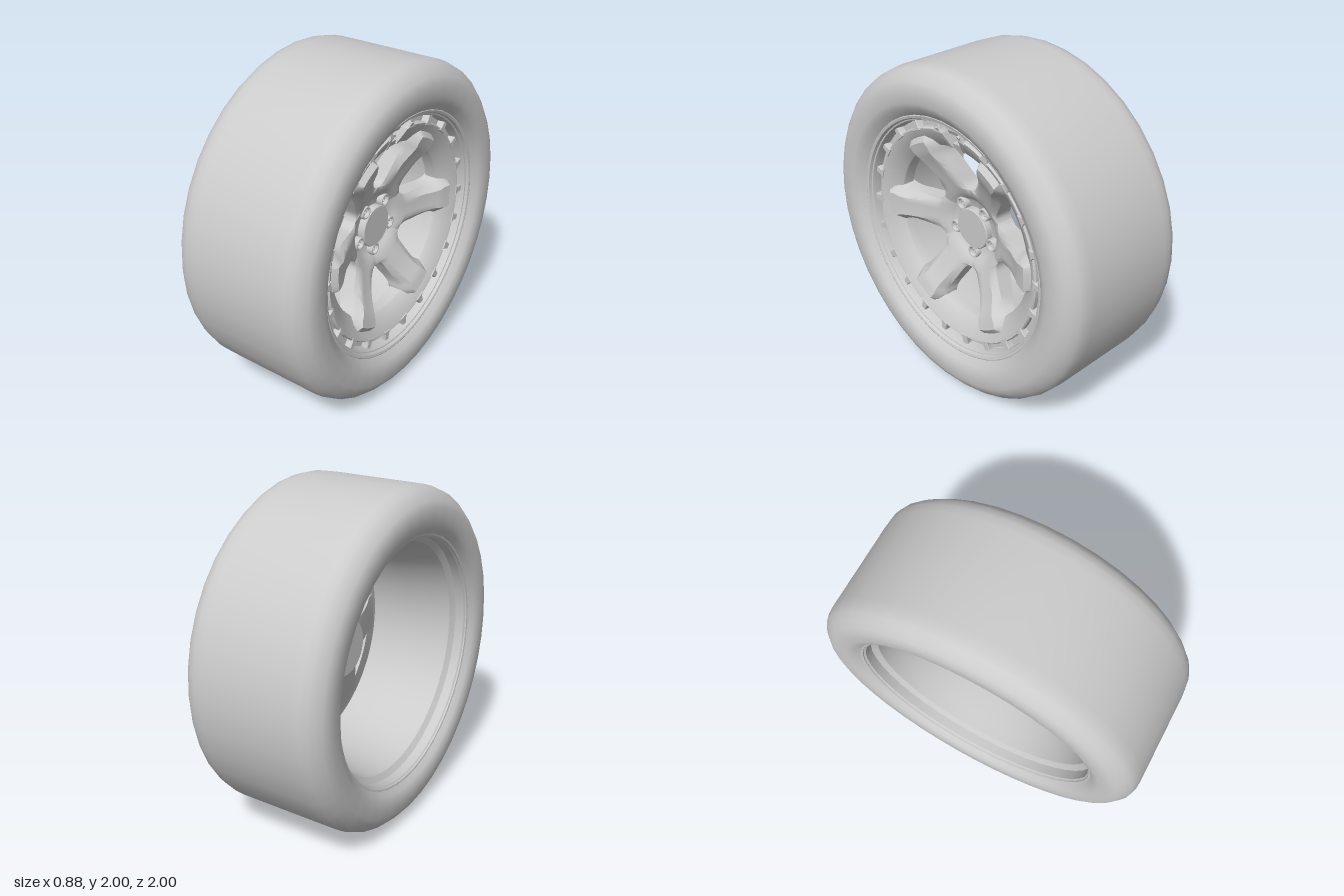
import * as THREE from 'three';
import { toCreasedNormals } from 'three/addons/utils/BufferGeometryUtils.js';

const grey = new THREE.MeshStandardMaterial({ color: 0xcccccc, side: THREE.DoubleSide });

function add(parent, name, geometry, crease = 0.6) {
  const mesh = new THREE.Mesh(toCreasedNormals(geometry, crease), grey);
  mesh.name = name;
  parent.add(mesh);
  return mesh;
}

// Turned part: [radius, depth] points spun about the axle (local z)
function turned(points, segments, start = 0, sweep = Math.PI * 2) {
  const profile = points.map(([r, z]) => new THREE.Vector2(r, z));
  return new THREE.LatheGeometry(profile, segments, start, sweep).rotateX(Math.PI / 2);
}

const closed = (points) => [...points, points[0]];

// Linear interpolation in rows of [r, value, value, ...]
function sample(rows, r, column) {
  let i = 0;
  while (i < rows.length - 2 && r > rows[i + 1][0]) i++;
  const a = rows[i], b = rows[i + 1];
  return THREE.MathUtils.lerp(a[column], b[column], (r - a[0]) / (b[0] - a[0]));
}

// Half angle of one spoke at radius r; the windows have a rounded inner end
function spokeHalfAngle(r) {
  const d = 0.095, apex = 0.255, c = 2 * (apex - d), rho = c - apex;
  if (r <= apex) return Math.PI / 6;
  if (r < Math.hypot(c * Math.cos(Math.PI / 6), d)) {
    const cosGap = (r * r + c * c - rho * rho) / (2 * r * c);
    return Math.PI / 6 - Math.acos(Math.min(1, cosGap));
  }
  const flare = THREE.MathUtils.clamp((r - 0.45) / 0.08, 0, 1);
  return Math.asin((d + 0.025 * flare * flare) / r);
}

// One sixth of hub and spoke, lofted outward from the centre
function spokeGeometry() {
  // radius, edge height, ridge height, back height
  const heights = [
    [0.1, 0.15, 0.15, 0.05], [0.165, 0.155, 0.155, 0.05], [0.2, 0.18, 0.185, 0.06],
    [0.225, 0.195, 0.2, 0.07], [0.255, 0.2, 0.212, 0.09], [0.4, 0.232, 0.27, 0.14],
    [0.5, 0.26, 0.325, 0.18], [0.565, 0.275, 0.345, 0.2], [0.605, 0.285, 0.312, 0.21],
  ];
  const radii = [0.1, 0.165, 0.185, 0.2, 0.225, 0.255, 0.257, 0.262, 0.27, 0.28, 0.294,
    0.33, 0.4, 0.45, 0.48, 0.5, 0.53, 0.565, 0.605];
  const across = [-1, -0.82, -0.6, -0.3, 0, 0.3, 0.6, 0.82, 1];
  const rise = [0, 0.45, 1, 1, 1, 1, 1, 0.45, 0];
  const position = [], index = [];
  const n = across.length * 2;
  radii.forEach((r, i) => {
    const w = spokeHalfAngle(r);
    const edge = sample(heights, r, 1), top = sample(heights, r, 2), back = sample(heights, r, 3);
    const put = (u, z) => position.push(r * Math.cos(u * w), r * Math.sin(u * w), z);
    across.forEach((u, j) => put(u, edge + (top - edge) * rise[j]));
    across.forEach((u) => put(-u, back));
    if (i === 0) return;
    for (let j = 0; j < n; j++) {
      const k = (j + 1) % n, a = (i - 1) * n, b = i * n;
      index.push(a + j, b + j, b + k, a + j, b + k, a + k);
    }
  });
  const geometry = new THREE.BufferGeometry();
  geometry.setAttribute('position', new THREE.Float32BufferAttribute(position, 3));
  geometry.setIndex(index);
  return geometry;
}

export function createModel() {
  const model = new THREE.Group();
  const wheel = new THREE.Group();
  wheel.name = 'wheel';
  wheel.position.y = 1;
  wheel.rotation.y = Math.PI / 2;
  model.add(wheel);

  // Tyre, symmetric about its middle
  const half = [[0.72, -0.38], [0.74, -0.395], [0.77, -0.425], [0.81, -0.44], [0.89, -0.44],
    [0.925, -0.425], [0.955, -0.4], [0.983, -0.37], [0.996, -0.33], [1, -0.28]];
  const mirrored = half.map(([r, z]) => [r, -z]).reverse();
  add(wheel, 'tyre', turned(closed([...half, ...mirrored]), 40), 0.7);

  // Barrel, open to the back, and the front lip with its recessed channel
  add(wheel, 'rimBarrel', turned([[0.7, 0.32], [0.65, 0.28], [0.64, 0.2], [0.64, -0.02],
    [0.67, -0.2], [0.685, -0.3], [0.72, -0.325], [0.73, -0.395], [0.75, -0.4]], 64));
  add(wheel, 'rimLip', turned([[0.745, 0.37], [0.738, 0.388], [0.728, 0.392], [0.715, 0.388],
    [0.708, 0.372], [0.7, 0.37], [0.695, 0.36], [0.69, 0.31], [0.645, 0.31]], 66));

  // Sloping face ring, interrupted at the top by the valve opening
  const gap = 0.096;
  add(wheel, 'faceRing', turned(closed([[0.65, 0.22], [0.652, 0.338], [0.645, 0.347],
    [0.635, 0.345], [0.53, 0.275], [0.525, 0.265], [0.525, 0.2]]), 72,
  Math.PI + gap, 2 * (Math.PI - gap)));
  const valve = new THREE.Group();
  valve.name = 'valveOpening';
  wheel.add(valve);
  add(valve, 'valveSill', turned(closed([[0.56, 0.2], [0.56, 0.285], [0.53, 0.275],
    [0.525, 0.265], [0.525, 0.2]]), 4, Math.PI - gap, 2 * gap));
  add(valve, 'valveFloor', turned(closed([[0.655, 0.24], [0.655, 0.31], [0.615, 0.29],
    [0.615, 0.24]]), 4, Math.PI - gap, 2 * gap));
  for (const side of [-1, 1]) {
    const cheek = add(valve, 'valveCheek', new THREE.BoxGeometry(0.018, 0.15, 0.11));
    cheek.position.set(side * 0.074, 0.62, 0.275);
    cheek.rotation.set(0.5, 0, -side * 0.32, 'ZYX');
  }

  // Tapered tabs dividing the channel into pockets
  const tab = new THREE.Shape([[0.636, -0.03], [0.655, -0.018], [0.704, -0.014],
    [0.704, 0.014], [0.655, 0.018], [0.636, 0.03]].map(([x, y]) => new THREE.Vector2(x, y)));
  const tabGeometry = new THREE.ExtrudeGeometry(tab, {
    depth: 0.045, bevelThickness: 0.005, bevelSize: 0.004, bevelSegments: 1,
  });
  for (let i = 0; i < 22; i++) {
    const mesh = add(wheel, 'pocketTab', tabGeometry);
    mesh.position.z = 0.3;
    mesh.rotation.z = (i / 22) * Math.PI * 2;
  }

  // Six spokes joined into the hub
  const spoke = spokeGeometry();
  for (let i = 0; i < 6; i++) {
    add(wheel, 'spoke', spoke, 0.75).rotation.z = (i / 6) * Math.PI * 2;
  }
  add(wheel, 'hubBack', turned([[0, 0.02], [0.17, 0.02], [0.18, 0.03], [0.18, 0.1], [0, 0.1]], 32));
  add(wheel, 'centreCap', turned([[0.125, 0.1], [0.125, 0.188], [0.12, 0.194], [0, 0.194]], 32));

  // Five lug seats, each with a recessed nut
  for (let i = 0; i < 5; i++) {
    const angle = -Math.PI / 2 + (i / 5) * Math.PI * 2;
    const lug = new THREE.Group();
    lug.name = 'lug';
    lug.position.set(0.157 * Math.cos(angle), 0.157 * Math.sin(angle), 0);
    wheel.add(lug);
    add(lug, 'lugSeat', turned([[0.039, 0.13], [0.039, 0.186], [0.036, 0.19], [0.029, 0.19],
      [0.026, 0.186], [0.024, 0.162], [0, 0.162]], 20));
    add(lug, 'lugNut', turned([[0.016, 0.16], [0.016, 0.176], [0.009, 0.178], [0.009, 0.166],
      [0, 0.166]], 12));
  }
  return model;
}
